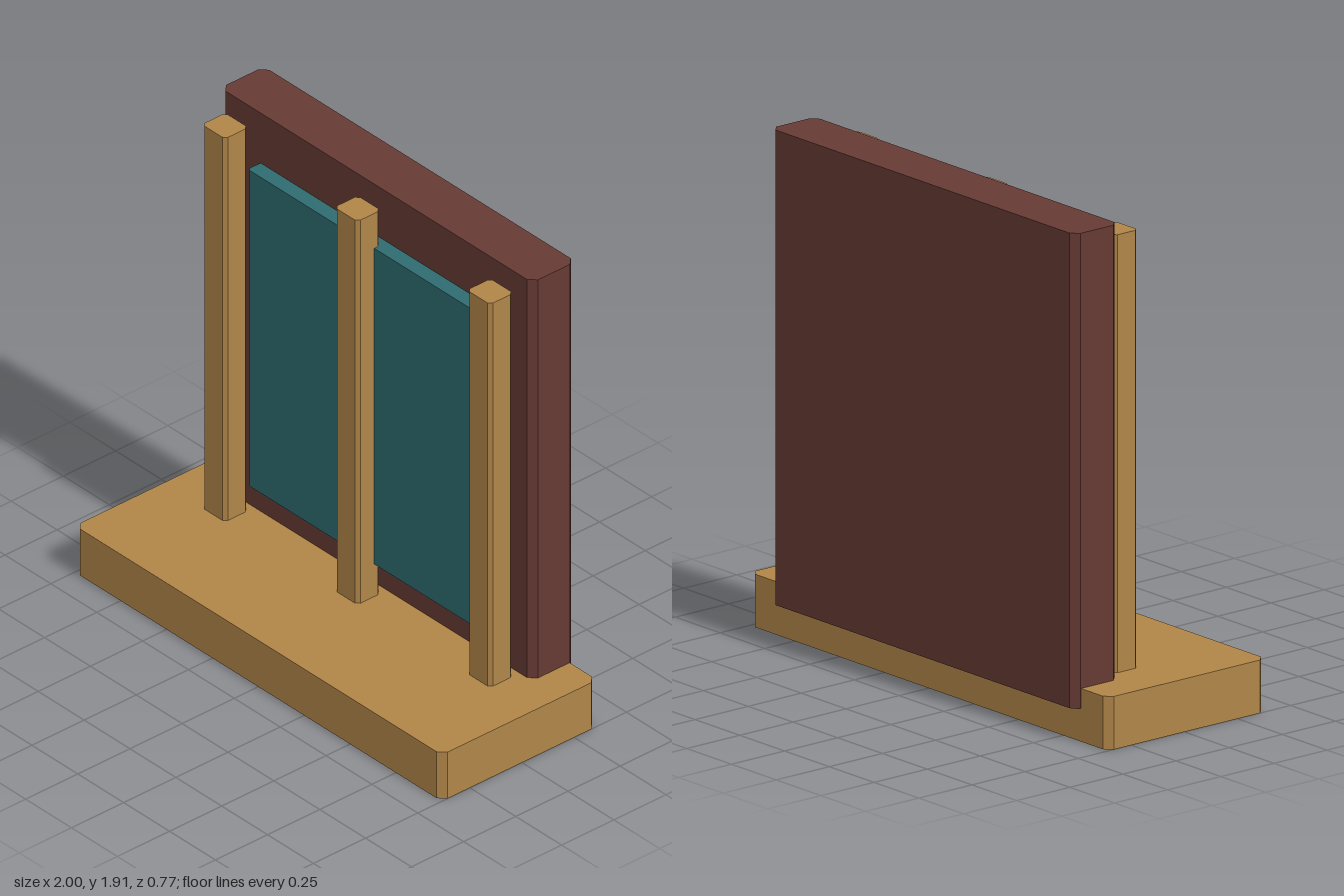
import * as THREE from 'three';

// Upright block with its four vertical edges chamfered
function chamferedBlock(name, material, [x0, x1], [y0, y1], [z0, z1], c) {
  const s = new THREE.Shape([
    [x0 + c, -z1], [x1 - c, -z1], [x1, -z1 + c], [x1, -z0 - c],
    [x1 - c, -z0], [x0 + c, -z0], [x0, -z0 - c], [x0, -z1 + c],
  ].map(([x, y]) => new THREE.Vector2(x, y)));
  const g = new THREE.ExtrudeGeometry(s, { depth: y1 - y0, bevelEnabled: false });
  g.rotateX(-Math.PI / 2).translate(0, y0, 0);
  const mesh = new THREE.Mesh(g, material);
  mesh.name = name;
  return mesh;
}

export function createModel() {
  const wood = new THREE.MeshStandardMaterial({ color: 0xb08548 });
  wood.name = 'tan wood';
  const maroon = new THREE.MeshStandardMaterial({ color: 0x663a34 });
  maroon.name = 'maroon';
  const teal = new THREE.MeshStandardMaterial({ color: 0x2e6c70 });
  teal.name = 'teal';

  const model = new THREE.Group();
  model.name = 'panelStand';

  // Base slab, back board and raised inset panel
  model.add(
    chamferedBlock('base', wood, [-1, 1], [0, 0.2], [-0.36, 0.385], 0.028),
    chamferedBlock('backBoard', maroon, [-0.85, 0.85], [0.125, 1.915], [-0.39, -0.18], 0.028),
    chamferedBlock('insetPanel', teal, [-0.63, 0.63], [0.34, 1.7], [-0.19, -0.118], 0.01),
  );

  // Three front posts
  const posts = { rightPost: -0.725, middlePost: -0.003, leftPost: 0.72 };
  for (const [name, x] of Object.entries(posts)) {
    model.add(chamferedBlock(name, wood, [x - 0.063, x + 0.063], [0.19, 1.85], [-0.15, -0.037], 0.014));
  }
  return model;
}
